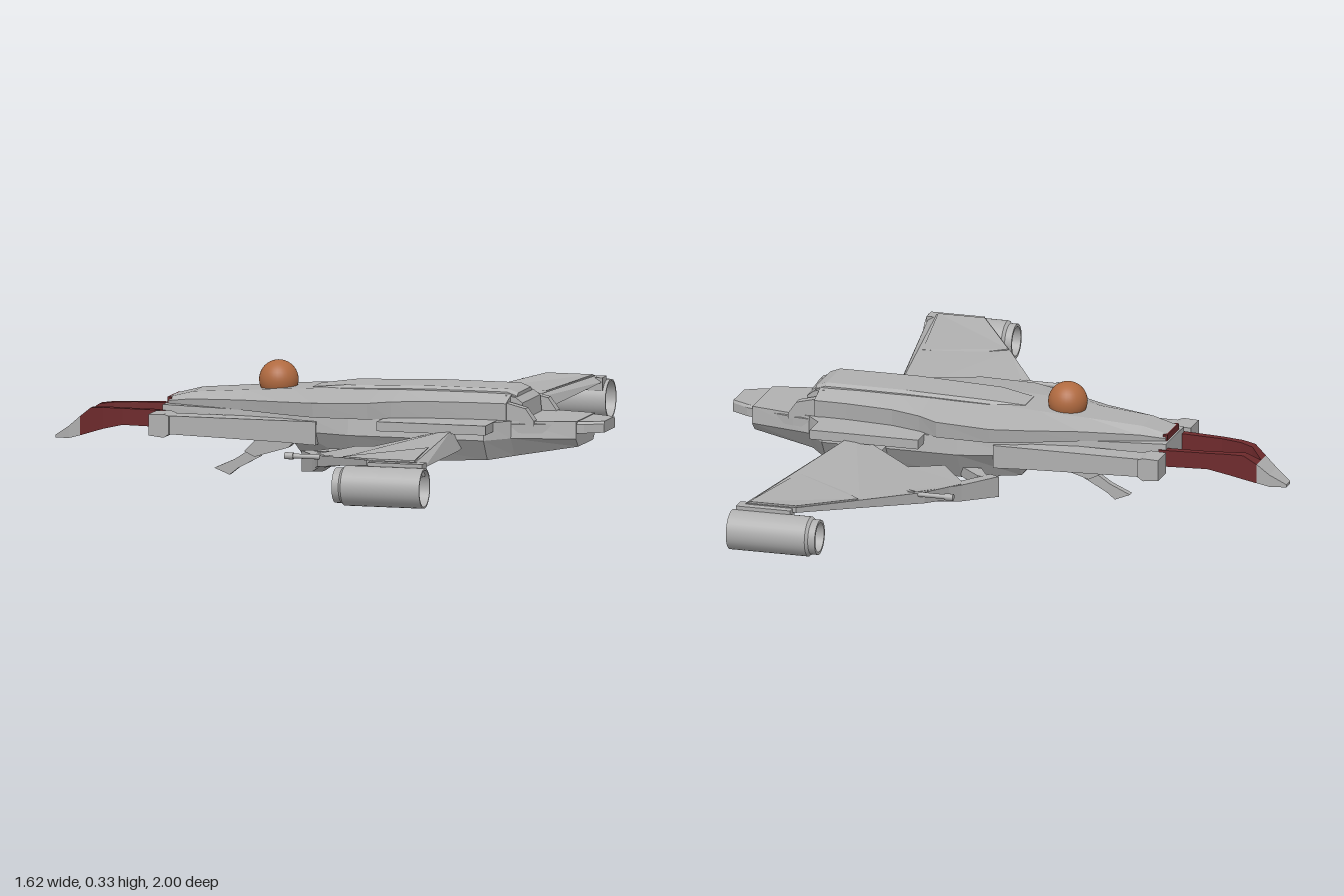
import * as THREE from 'three';

const mat = (name, color, side = THREE.FrontSide) => {
  const m = new THREE.MeshStandardMaterial({ color, side });
  m.name = name;
  return m;
};

// Flat-shades a closed geometry and makes its faces point outwards
function facet(geo) {
  const g = geo.index ? geo.toNonIndexed() : geo;
  const p = g.attributes.position;
  const v = [0, 1, 2].map(() => new THREE.Vector3());
  let volume = 0;
  for (let i = 0; i < p.count; i += 3) {
    v.forEach((q, k) => q.fromBufferAttribute(p, i + k));
    volume += v[0].dot(v[1].clone().cross(v[2]));
  }
  if (volume < 0) {
    for (let i = 0; i < p.count; i += 3) {
      v.forEach((q, k) => q.fromBufferAttribute(p, i + k));
      p.setXYZ(i + 1, v[2].x, v[2].y, v[2].z);
      p.setXYZ(i + 2, v[1].x, v[1].y, v[1].z);
    }
  }
  g.computeVertexNormals();
  return g;
}

// Skins a row of equal-length rings of [x, y, z] points and caps the ends
function loft(rings) {
  const n = rings[0].length, last = (rings.length - 1) * n, idx = [];
  for (let r = 0; r < rings.length - 1; r++) {
    for (let i = 0; i < n; i++) {
      const a = r * n + i, b = r * n + (i + 1) % n;
      idx.push(a, b, a + n, b, b + n, a + n);
    }
  }
  for (let i = 1; i < n - 1; i++) {
    idx.push(0, i + 1, i, last, last + i, last + i + 1);
  }
  const g = new THREE.BufferGeometry();
  g.setAttribute('position', new THREE.Float32BufferAttribute(rings.flat(2), 3));
  g.setIndex(idx);
  return facet(g);
}

// Ring symmetric about z = 0 from half-section points [y, z]
const mirrorRing = (x, half) => [
  ...half.map(([y, z]) => [x, y, z]),
  ...[...half].reverse().map(([y, z]) => [x, y, -z]),
];
// Rectangular ring at x
const rectRing = (x, y0, y1, z0, z1) => [[x, y0, z0], [x, y1, z0], [x, y1, z1], [x, y0, z1]];

// Slab over an (x, z) outline that follows the sloping wing surfaces
function wingSlab(outline, s, lift = 0) {
  const shape = new THREE.Shape(outline.map(([x, z]) => new THREE.Vector2(x, z)));
  const g = new THREE.ExtrudeGeometry(shape, { depth: 1, bevelEnabled: false });
  const p = g.attributes.position;
  const mix = THREE.MathUtils.lerp;
  for (let i = 0; i < p.count; i++) {
    let x = p.getX(i);
    const z = p.getY(i), isTop = p.getZ(i) > 0.5;
    const t = THREE.MathUtils.clamp((z - 0.25) / 0.65, 0, 1);
    const c = THREE.MathUtils.clamp((x - 0.36 * t) / (0.44 - 0.27 * t), 0, 1);
    const top = mix(0.105 + 0.08 * c, 0.19, t) + lift;
    const bottom = mix(0.06 + 0.07 * c, 0.175, t);
    if (isTop && c > 0.97) x -= 0.025;
    p.setXYZ(i, x, isTop ? top : bottom, z * s);
  }
  return facet(g);
}

export function createModel() {
  const model = new THREE.Group();
  const grey = mat('hull grey', 0xb0b0b0);
  const shell = mat('engine grey', 0xb0b0b0, THREE.DoubleSide);
  const red = mat('nose red', 0x6e2a2c);
  const copper = mat('dome copper', 0xb06a40);
  const add = (name, geo, material = grey, parent = model) => {
    const m = new THREE.Mesh(geo, material);
    m.name = name;
    parent.add(m);
    return m;
  };

  // Upper hull: x, half width, edge height, top height, flat-top half width
  add('upperHull', loft([
    [-0.47, 0.06, 0.212, 0.222, 0.045], [-0.4, 0.08, 0.222, 0.24, 0.05],
    [-0.24, 0.13, 0.232, 0.252, 0.06], [-0.1, 0.19, 0.24, 0.262, 0.07],
    [0, 0.225, 0.245, 0.268, 0.07], [0.16, 0.22, 0.25, 0.272, 0.07],
    [0.22, 0.185, 0.252, 0.275, 0.07], [0.31, 0.155, 0.253, 0.277, 0.07],
    [0.45, 0.14, 0.253, 0.277, 0.07], [0.545, 0.138, 0.253, 0.275, 0.07],
  ].map(([x, w, e, t, f]) => mirrorRing(x, [[0.203, w * 0.97], [e, w], [t, f]]))));

  // Raised spine, narrowing towards the nose
  add('spine', loft([
    [-0.05, 0.05, 0.266], [0.05, 0.075, 0.278], [0.3, 0.08, 0.286], [0.53, 0.078, 0.286], [0.56, 0.075, 0.275],
  ].map(([x, w, y]) => mirrorRing(x, [[0.24, w], [y - 0.008, w], [y, w * 0.85]]))));

  // Lower hull: x, half width, keel height, keel half width
  add('lowerHull', loft([
    [-0.48, 0.09, 0.14, 0.06], [-0.1, 0.15, 0.13, 0.1], [-0.06, 0.17, 0.08, 0.11],
    [0.1, 0.21, 0.075, 0.16], [0.5, 0.21, 0.095, 0.17], [0.56, 0.14, 0.1, 0.1], [0.74, 0.1, 0.13, 0.075],
  ].map(([x, w, y, k]) => mirrorRing(x, [[y, k], [0.155, w], [0.204, w * 0.96]]))));

  // Tail plate and the clamp that joins it to the hull
  add('tailPlate', loft([[0.53, 0.14], [0.61, 0.13], [0.76, 0.085], [0.81, 0.055]]
    .map(([x, w]) => mirrorRing(x, [[0.17, w], [0.195, w], [0.202, w * 0.9]]))));
  add('tailClamp', loft([[0.53, 0.27], [0.56, 0.265], [0.58, 0.25], [0.585, 0.2]]
    .map(([x, y]) => mirrorRing(x, [[0.195, 0.09], [y, 0.09]]))));
  for (const s of [-1, 1]) {
    add('clampArm', loft([[0.54, 0.255], [0.6, 0.24], [0.625, 0.205]]
      .map(([x, y]) => rectRing(x, 0.19, y, s * 0.1, s * 0.13))));
  }

  // Dome
  add('dome', new THREE.SphereGeometry(0.056, 32, 20), copper).position.set(-0.163, 0.277, 0);

  // Nose fork: two red prongs meeting at a grey beak
  for (const s of [-1, 1]) {
    add('noseProng', loft([
      [-0.46, 0.14, 0.188, 0.07, 0.095], [-0.6, 0.14, 0.187, 0.06, 0.08],
      [-0.66, 0.125, 0.186, 0.046, 0.07], [-0.7, 0.112, 0.182, 0.028, 0.058], [-0.735, 0.1, 0.155, 0, 0.045],
    ].map(([x, y0, y1, z0, z1]) => rectRing(x, y0, y1, s * z0, s * z1))), red);
  }
  add('noseBeak', loft([[-0.735, 0.1, 0.155, 0.044], [-0.77, 0.09, 0.125, 0.036], [-0.815, 0.087, 0.095, 0.018]]
    .map(([x, y0, y1, w]) => mirrorRing(x, [[y0, w], [y1, w]]))));
  add('noseCollar', loft([[-0.474, 0.055], [-0.462, 0.058]]
    .map(([x, w]) => mirrorRing(x, [[0.185, w], [0.222, w]]))), red);

  // Belly cannon
  const blade = new THREE.Shape([[-0.26, 0.07], [-0.23, 0.055], [-0.13, 0.085], [-0.08, 0.14], [-0.24, 0.14], [-0.22, 0.11]]
    .map(([x, y]) => new THREE.Vector2(x, y)));
  const bladeGeo = new THREE.ExtrudeGeometry(blade, { depth: 0.036, bevelEnabled: false });
  add('cannonMount', bladeGeo.translate(0, 0, -0.018));
  const barrel = new THREE.Shape([[-0.35, 0.018], [-0.305, 0], [-0.28, 0.02], [-0.215, 0.055], [-0.23, 0.085], [-0.29, 0.045]]
    .map(([x, y]) => new THREE.Vector2(x, y)));
  const barrelGeo = new THREE.ExtrudeGeometry(barrel, { depth: 0.02, bevelEnabled: false });
  add('cannonBarrel', barrelGeo.translate(0, 0, -0.01));

  for (const s of [-1, 1]) {
    const side = new THREE.Group();
    side.name = s > 0 ? 'leftSide' : 'rightSide';
    model.add(side);

    // Shoulder block beside the rear hull
    add('shoulderBlock', loft([[0.2, 0.205], [0.52, 0.205]]
      .map(([x, y]) => rectRing(x, 0.178, y, s * 0.12, s * 0.26))), grey, side);

    // Forward side pod with a wider muzzle
    add('sidePod', loft([[-0.44, 0.135], [-0.1, 0.125], [0, 0.12]]
      .map(([x, y]) => rectRing(x, y, 0.187, s * 0.125, s * 0.19))), grey, side);
    add('podMuzzle', loft([[-0.49, 0.13, 0.19], [-0.445, 0.125, 0.192], [-0.43, 0.135, 0.187]]
      .map(([x, y0, y1]) => rectRing(x, y0, y1, s * 0.118, s * 0.196))), grey, side);

    // Wing, its raised outer panel and the root strut
    add('wing', wingSlab([[0.04, 0.34], [0.13, 0.23], [0.21, 0.32], [0.31, 0.26], [0.31, 0.19], [0.43, 0.19],
      [0.44, 0.25], [0.53, 0.91], [0.36, 0.91], [0.23, 0.72], [0.1, 0.52]], s), grey, side);
    add('wingPanel', wingSlab([[0.235, 0.72], [0.325, 0.64], [0.45, 0.595], [0.5, 0.905], [0.362, 0.905]], s, 0.004), grey, side);
    add('wingStrut', loft([[-0.03, 0.05, 0.11, 0.23], [0.04, 0.07, 0.118, 0.36], [0.12, 0.115, 0.143, 0.53]]
      .map(([x, y0, y1, z]) => [[x, y0, z * s], [x, y1, z * s], [x + 0.03, y1, (z - 0.015) * s], [x + 0.03, y0, (z - 0.015) * s]])), grey, side);
    add('wingRootLink', loft([[0.0, 0.24, 0.03], [0.04, 0.17, 0.06]]
      .map(([x, z, w]) => [[x, 0.08, z * s], [x, 0.11, z * s], [x + w, 0.11, z * s], [x + w, 0.08, z * s]])), grey, side);

    // Small wing gun
    const gun = add('wingGun', new THREE.CylinderGeometry(0.007, 0.007, 0.13, 12).rotateZ(Math.PI / 2), grey, side);
    gun.position.set(0.085, 0.138, s * 0.535);
    const gunTip = add('wingGunTip', new THREE.CylinderGeometry(0.01, 0.01, 0.025, 12).rotateZ(Math.PI / 2), grey, side);
    gunTip.position.set(0.023, 0.138, s * 0.535);

    // Hollow wingtip engine with a stepped intake ring
    const profile = [[0.038, 0.06], [0.042, 0], [0.05, 0], [0.05, 0.02], [0.057, 0.028], [0.057, 0.26], [0.052, 0.26], [0.038, 0.06]];
    for (let i = 0; i < profile.length - 1; i++) {
      const pts = [profile[i], profile[i + 1]].map(([r, h]) => new THREE.Vector2(r, h));
      const ring = add('wingtipEngine', new THREE.LatheGeometry(pts, 32).rotateZ(-Math.PI / 2), shell, side);
      ring.position.set(0.28, 0.12, s * 0.943);
    }
    const plug = add('engineCore', new THREE.CylinderGeometry(0.039, 0.039, 0.01, 32).rotateZ(Math.PI / 2), grey, side);
    plug.position.set(0.34, 0.12, s * 0.943);
    add('enginePylon', loft([[0.37, 0.15], [0.53, 0.15]]
      .map(([x, y]) => rectRing(x, y, 0.187, s * 0.89, s * 0.935))), grey, side);
  }
  return model;
}
